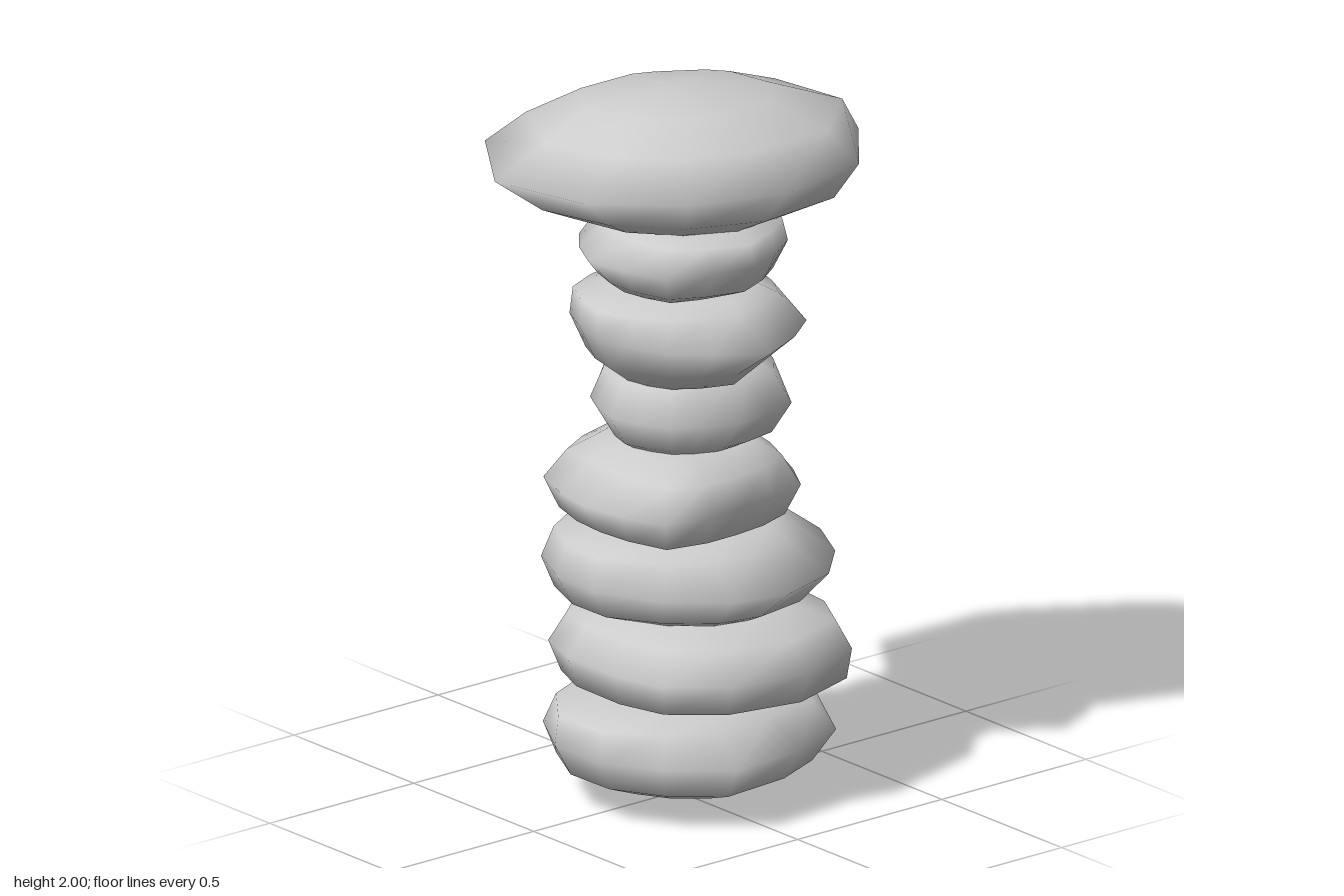
import * as THREE from 'three';

const stoneMaterial = new THREE.MeshStandardMaterial({ color: 0xcccccc });
stoneMaterial.name = 'stone grey';

// Outline from eight radii (+x, then turning towards +z), with a softer corner between each pair
function rounded(...radii) {
  const points = [];
  radii.forEach((r, i) => {
    const between = 0.96 * (r + radii[(i + 1) % 8]) / 2;
    [r, between].forEach((radius, half) => {
      const a = ((i + half / 2) * Math.PI) / 4;
      points.push([radius * Math.cos(a), radius * Math.sin(a)]);
    });
  });
  return points;
}

// Blend four values given for +x, +z, -x, -z around the stone
function around(values, x, z) {
  const t = ((Math.atan2(z, x) / (Math.PI / 2)) + 4) % 4;
  const i = Math.floor(t) % 4, f = t - Math.floor(t);
  return values[i] * (1 - f) + values[(i + 1) % 4] * f;
}

// A rough stone: bottom tip, five rings, top tip.
// y holds the seven heights; low and high narrow the rings beside the belt;
// footTilt and capTilt slope the outermost rings along x.
function stone(name, outline, y, low, high, { foot = 0.6, cap = 0.6, footTilt = 0, capTilt = 0 } = {}) {
  const n = outline.length;
  const flat = (v) => [v, v, v, v];
  const ratios = [flat(foot), low, flat(1), high, flat(cap)];
  const tilts = [footTilt, 0, 0, 0, capTilt];
  const pos = [0, y[0], 0];
  ratios.forEach((ratio, r) => outline.forEach(([x, z]) => {
    const k = around(ratio, x, z);
    pos.push(x * k, y[r + 1] + tilts[r] * x * k, z * k);
  }));
  pos.push(0, y[6], 0);

  const index = [], top = 1 + 5 * n;
  for (let i = 0; i < n; i++) {
    const j = (i + 1) % n;
    index.push(0, 1 + i, 1 + j);
    for (let r = 0; r < 4; r++) {
      const a = 1 + r * n + i, b = 1 + r * n + j;
      index.push(a, a + n, b, b, a + n, b + n);
    }
    index.push(top, top - n + j, top - n + i);
  }
  const geometry = new THREE.BufferGeometry();
  geometry.setAttribute('position', new THREE.Float32BufferAttribute(pos, 3));
  geometry.setIndex(index);
  geometry.computeVertexNormals();
  const mesh = new THREE.Mesh(geometry, stoneMaterial);
  mesh.name = name;
  return mesh;
}

export function createModel() {
  const group = new THREE.Group();
  group.name = 'stackedStonePillar';

  group.add(
    stone('baseStone',
      [[0.36, 0], [0.36, 0.19], [0.3, 0.3], [0.12, 0.37], [-0.12, 0.388], [-0.27, 0.26], [-0.36, 0.1],
        [-0.36, -0.08], [-0.26, -0.25], [-0.1, -0.35], [0.1, -0.35], [0.27, -0.27], [0.35, -0.14]],
      [0, 0.05, 0.1, 0.19, 0.27, 0.3, 0.32],
      [0.83, 0.87, 0.86, 0.94], [1, 0.7, 1, 0.8], { foot: 0.53, cap: 0.63 }),
    stone('secondStone',
      [[0.41, 0], [0.4, 0.18], [0.33, 0.33], [0.11, 0.412], [-0.12, 0.37], [-0.26, 0.25], [-0.3, 0.1],
        [-0.3, -0.1], [-0.25, -0.24], [-0.1, -0.35], [0.08, -0.36], [0.27, -0.26], [0.37, -0.15]],
      [0.28, 0.3, 0.335, 0.42, 0.5, 0.54, 0.555],
      [1.01, 0.93, 0.93, 0.87], [0.95, 0.86, 0.82, 0.9]),
    stone('thirdStone',
      [[0.462, 0.04], [0.38, 0.2], [0.25, 0.33], [0.06, 0.39], [-0.1, 0.35], [-0.24, 0.22], [-0.33, 0.04],
        [-0.32, -0.12], [-0.25, -0.27], [-0.08, -0.38], [0.1, -0.38], [0.22, -0.37], [0.41, -0.2]],
      [0.52, 0.535, 0.565, 0.65, 0.735, 0.77, 0.785],
      [0.91, 0.74, 0.85, 0.95], [0.75, 0.7, 0.94, 0.88]),
    stone('fourthStone', rounded(0.34, 0.33, 0.275, 0.365, 0.325, 0.36, 0.32, 0.335),
      [0.76, 0.77, 0.795, 0.88, 0.96, 1.005, 1.02],
      [0.83, 0.91, 0.83, 0.94], [0.76, 0.94, 0.72, 0.93]),
    stone('fifthStone', rounded(0.31, 0.305, 0.255, 0.24, 0.235, 0.235, 0.28, 0.32),
      [0.99, 1.0, 1.025, 1.11, 1.195, 1.225, 1.25],
      [0.9, 0.75, 0.78, 0.78], [0.97, 0.72, 0.82, 0.88], { cap: 0.62, capTilt: 0.1 }),
    stone('sixthStone', rounded(0.295, 0.345, 0.39, 0.305, 0.28, 0.29, 0.285, 0.32),
      [1.19, 1.215, 1.25, 1.345, 1.42, 1.45, 1.465],
      [0.85, 0.65, 0.84, 0.86], [0.92, 0.65, 1, 0.94], { footTilt: 0.1 }),
    stone('neckStone', rounded(0.29, 0.295, 0.32, 0.345, 0.31, 0.265, 0.245, 0.3),
      [1.44, 1.455, 1.49, 1.57, 1.63, 1.655, 1.67],
      [0.86, 0.87, 0.75, 0.98], [0.95, 0.95, 0.7, 0.98], { capTilt: -0.05 }),
    // Wide cap stone with its own uneven outline
    stone('capStone',
      [[0.46, -0.12], [0.51, 0.14], [0.33, 0.36], [0.03, 0.42], [-0.24, 0.33], [-0.44, 0.14],
        [-0.51, -0.15], [-0.32, -0.42], [0.03, -0.42], [0.15, -0.37], [0.38, -0.22]],
      [1.615, 1.645, 1.7, 1.8, 1.89, 1.97, 2],
      [0.93, 0.8, 0.7, 0.92], [0.95, 0.72, 0.7, 0.85], { foot: 0.55, cap: 0.5, footTilt: -0.05 }),
  );
  return group;
}
